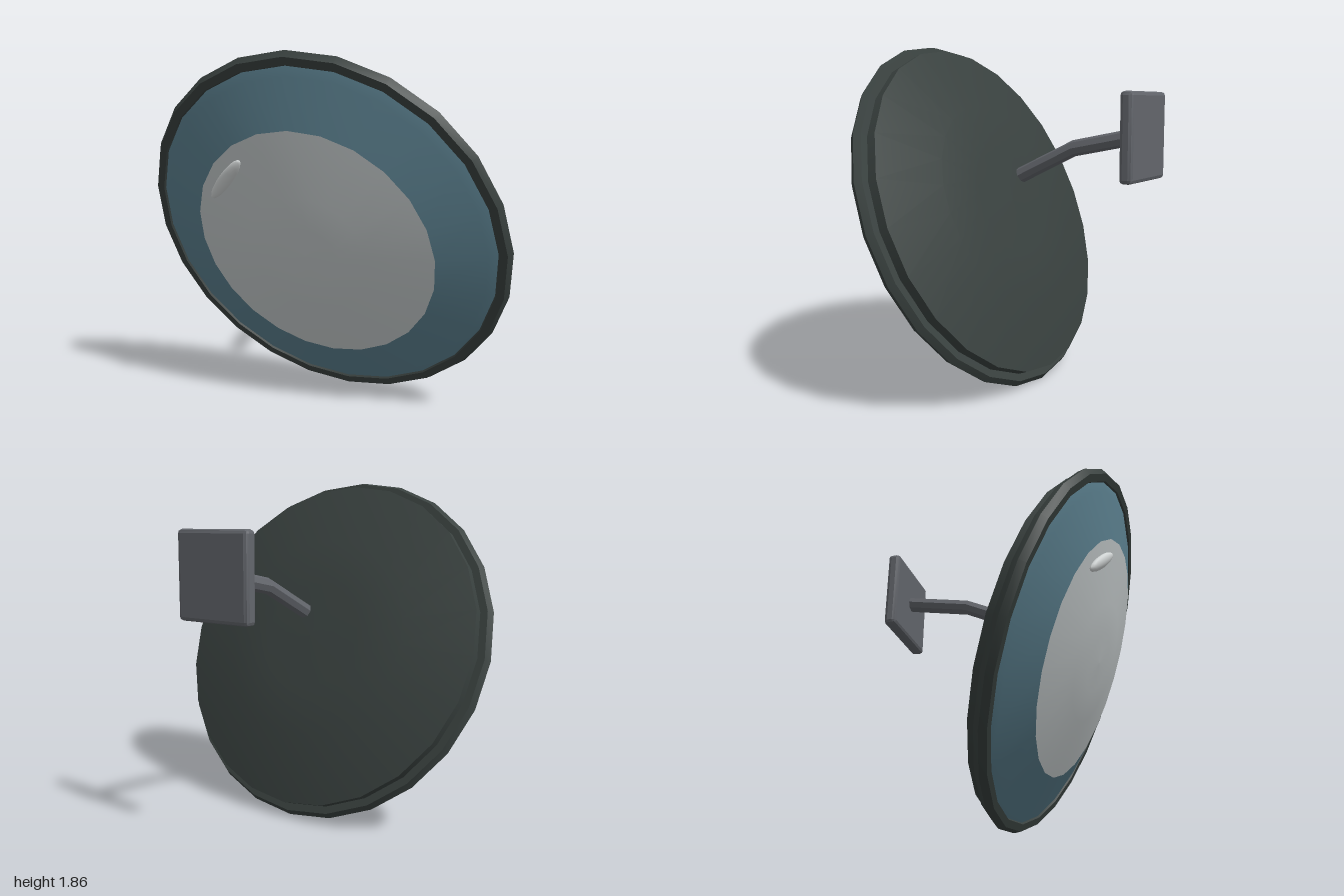
import * as THREE from 'three';
import { toCreasedNormals } from 'three/addons/utils/BufferGeometryUtils.js';
import { RoundedBoxGeometry } from 'three/addons/geometries/RoundedBoxGeometry.js';

const SIDES = 24;

function material(name, color) {
  const m = new THREE.MeshStandardMaterial({ color });
  m.name = name;
  return m;
}

function addMesh(parent, name, geometry, mat) {
  const mesh = new THREE.Mesh(geometry, mat);
  mesh.name = name;
  parent.add(mesh);
  return mesh;
}

// Surface of revolution about z, from [radius, depth] points with rising depth
function revolve(points) {
  const profile = points.map(([r, z]) => new THREE.Vector2(r, z));
  return new THREE.LatheGeometry(profile, SIDES).rotateX(Math.PI / 2);
}

export function createModel() {
  const casing = material('dark casing', 0x39413f);
  const blue = material('blue glass', 0x5c8190);
  const silver = material('silver glass', 0xc6cccd);
  const glint = material('pale glint', 0xd4d8d8);
  const steel = material('grey steel', 0x63666c);

  const model = new THREE.Group();
  model.name = 'wallMirror';

  // Mirror head, leaning forward at the top
  const head = new THREE.Group();
  head.name = 'mirrorHead';
  head.position.set(0, 0.929, 0.293);
  head.rotation.x = 0.38;
  model.add(head);

  // Rim and shallow domed back
  addMesh(head, 'rim', toCreasedNormals(new THREE.TorusGeometry(0.96, 0.04, 6, SIDES), 0.6), casing);
  addMesh(head, 'backDome', revolve([[0, -0.197], [0.3, -0.192], [0.565, -0.178], [0.94, -0.087]]), casing);
  addMesh(head, 'backEdge', revolve([[0.94, -0.087], [0.94, 0]]), casing);

  // Convex glass: blue outer ring and silver centre
  addMesh(head, 'outerGlass', revolve([[0.94, 0.022], [0.89, 0.045], [0.655, 0.127]]), blue);
  addMesh(head, 'centreGlass', revolve([[0.655, 0.127], [0.33, 0.182], [0.16, 0.194], [0, 0.198]]), silver);

  // Slim highlight lying on the glass
  const spot = addMesh(head, 'glint', new THREE.SphereGeometry(1, 16, 10), glint);
  spot.scale.set(0.16, 0.035, 0.025);
  spot.position.set(-0.4, 0.385, 0.148);
  spot.rotation.z = Math.PI / 4;

  // Bent arm made from two straight lengths
  const start = new THREE.Vector3(0, 1.145, 0.055);
  const bend = new THREE.Vector3(0, 1.3, -0.262);
  const end = new THREE.Vector3(0, 1.372, -0.63);
  const path = new THREE.CurvePath();
  path.add(new THREE.LineCurve3(start, bend));
  path.add(new THREE.LineCurve3(bend, end));
  const tube = new THREE.TubeGeometry(path, 2, 0.043, 8, false);
  addMesh(model, 'arm', toCreasedNormals(tube, 0.5), steel);
  const cap = addMesh(model, 'armEnd', new THREE.CircleGeometry(0.043, 8), steel);
  cap.position.copy(start);
  cap.lookAt(start.clone().multiplyScalar(2).sub(bend));

  // Chamfered wall plate
  const plate = toCreasedNormals(new RoundedBoxGeometry(0.446, 0.45, 0.07, 1, 0.02), 0.3);
  addMesh(model, 'wallPlate', plate, steel).position.set(0, 1.371, -0.661);

  return model;
}
